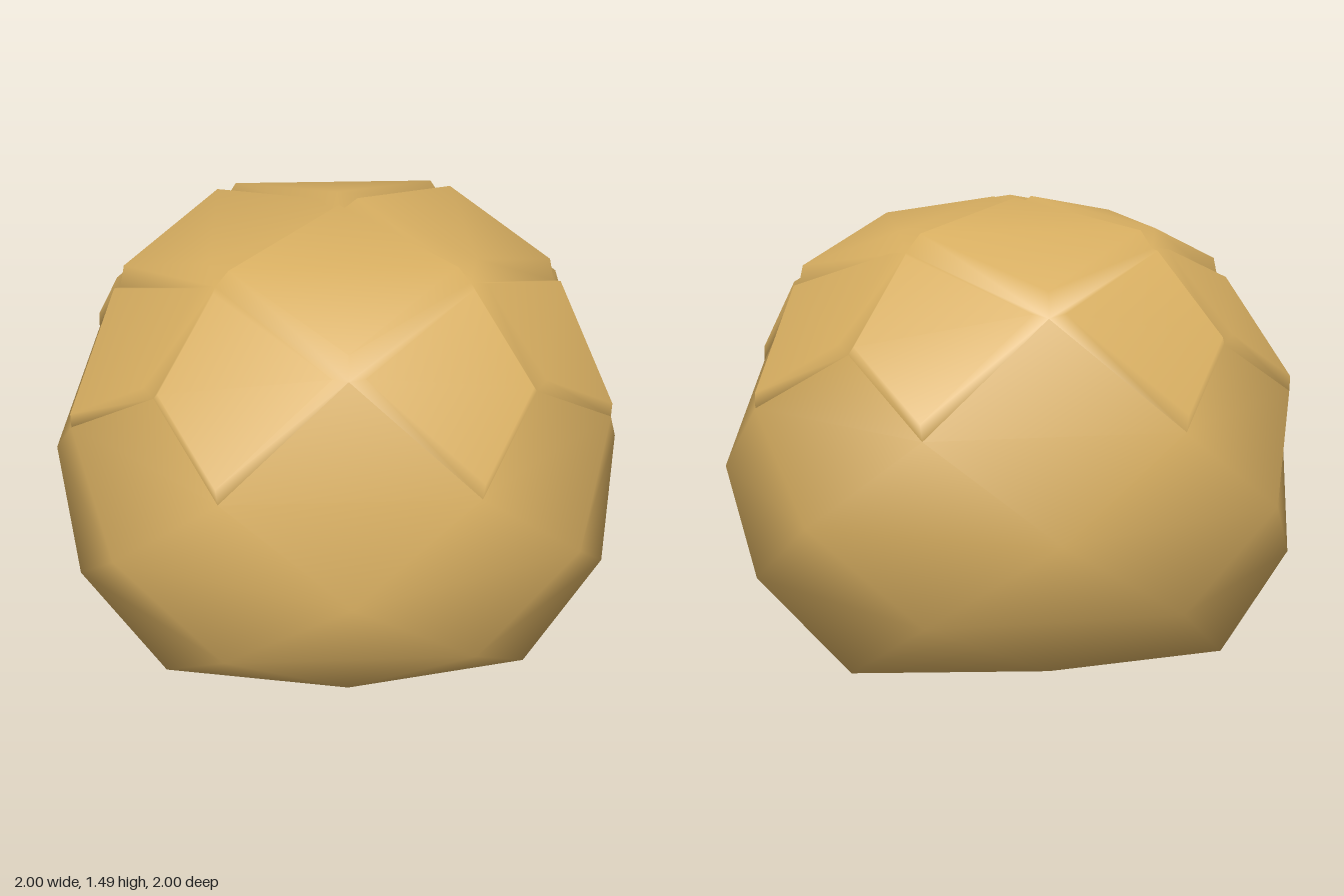
import * as THREE from 'three';
import { mergeVertices } from 'three/addons/utils/BufferGeometryUtils.js';

const V = (x, y, z) => new THREE.Vector3(x, y, z);

// Corner points of one quarter (facing +z); the bun repeats it four times
const P = {
  top: V(0, 1.44, 0), B: V(0.39, 1.35, 0.39), C: V(0, 1.19, 0.73), D: V(0.58, 1.07, 0.58),
  E: V(0.385, 0.87, 0.87), E2: V(0.87, 0.87, 0.385), F: V(0, 0.58, 1), G: V(0.725, 0.58, 0.725),
  H: V(0.39, 0.31, 0.89), H2: V(0.89, 0.31, 0.39), M: V(0, 0.1, 0.77), N: V(0.6, 0.055, 0.6),
  O: V(0.385, 0.015, 0.385), base: V(0, 0, 0),
};
const mirror = (p) => V(-p.x, p.y, p.z);
const Y = V(0, 1, 0);

// Four-sided patch: top, left, bottom, right, folded along left-right
function addQuad(out, [t, l, b, r]) {
  for (const p of [t, l, r, l, b, r]) out.push(p.x, p.y, p.z);
}

// Raised crust tile: sloped rim around an inset, lifted patch
function addTile(out, q, lift) {
  const centre = q.reduce((s, p) => s.add(p), V(0, 0, 0)).multiplyScalar(0.25);
  const normal = q[2].clone().sub(q[0]).cross(q[3].clone().sub(q[1])).normalize();
  const inner = q.map((p) => p.clone().lerp(centre, 0.11).addScaledVector(normal, lift));
  addQuad(out, inner);
  for (let i = 0; i < 4; i++) {
    const j = (i + 1) % 4;
    addQuad(out, [q[i], q[j], inner[j], inner[i]]);
  }
}

function smoothMesh(name, coords, material) {
  let g = new THREE.BufferGeometry();
  g.setAttribute('position', new THREE.Float32BufferAttribute(coords, 3));
  g = mergeVertices(g, 1e-4);
  g.computeVertexNormals();
  const mesh = new THREE.Mesh(g, material);
  mesh.name = name;
  return mesh;
}

export function createModel() {
  const crust = new THREE.MeshStandardMaterial({ color: 0xd6ad60 });
  crust.name = 'golden crust';

  const { top, B, C, D, E, E2, F, G, H, H2, M, N, O, base } = P;
  const both = (q) => [q, [q[0], q[3], q[2], q[1]].map(mirror)];

  const crownTiles = [[top, mirror(B), C, B]];
  const shoulderTiles = both([B, C, E, D]);
  const bodyPatches = [
    [C, mirror(E), F, E], [D, E, G, E2], ...both([E, F, H, G]),
    [F, mirror(H), M, H], [G, H, N, H2], ...both([H, M, O, N]),
    [M, mirror(O), base, O],
  ];

  const body = [], tiles = [];
  for (let k = 0; k < 4; k++) {
    const turn = (q) => q.map((p) => p.clone().applyAxisAngle(Y, k * Math.PI / 2));
    bodyPatches.forEach((q) => addQuad(body, turn(q)));
    crownTiles.forEach((q) => addTile(tiles, turn(q), 0.065));
    shoulderTiles.forEach((q) => addTile(tiles, turn(q), 0.035));
  }

  const group = new THREE.Group();
  group.name = 'bun';
  group.add(smoothMesh('body', body, crust), smoothMesh('crustTiles', tiles, crust));
  return group;
}
